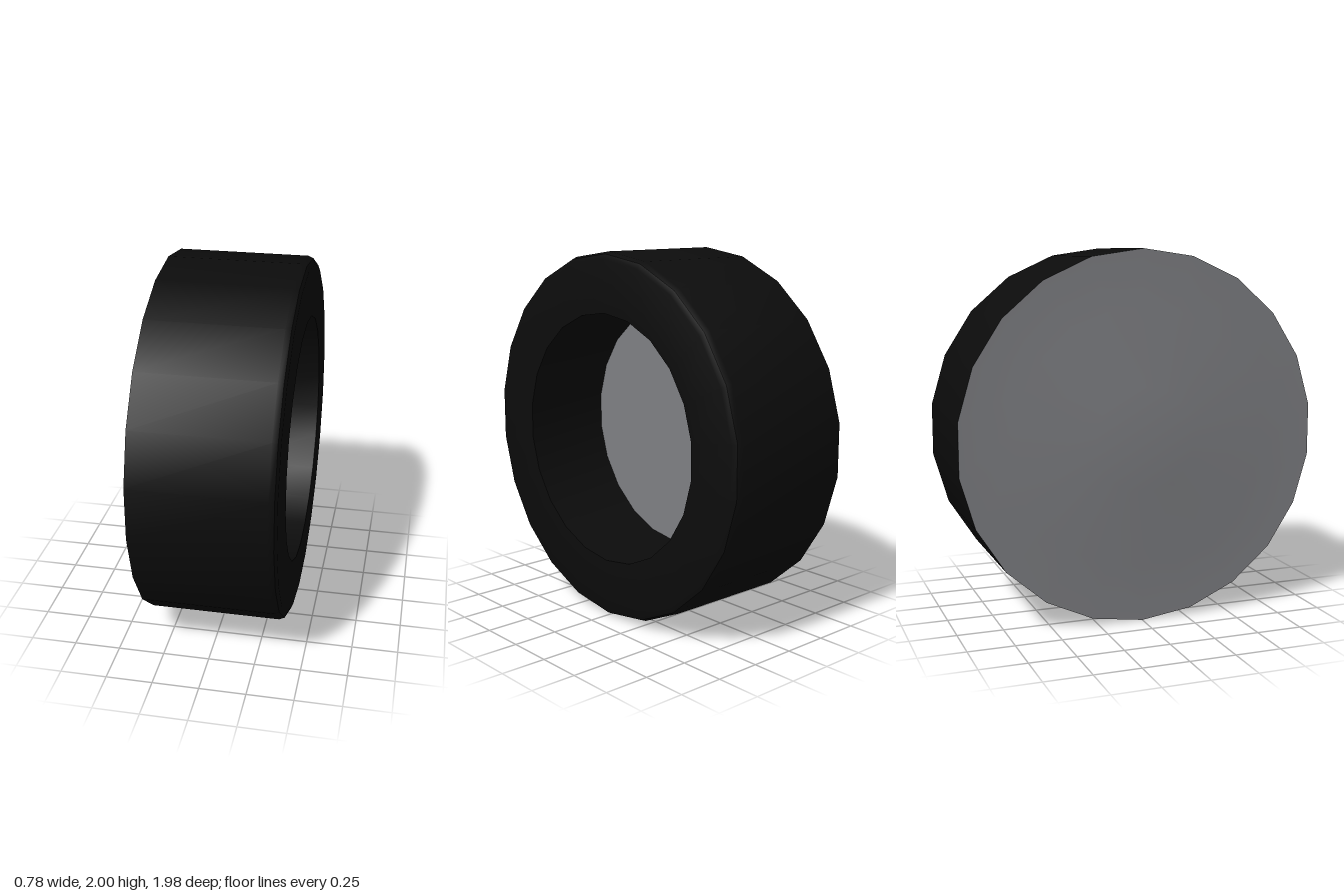
import * as THREE from 'three';
import { toCreasedNormals } from 'three/addons/utils/BufferGeometryUtils.js';

const SIDES = 22;

// Spins a profile of [radius, x] points around the x axis, with a corner at the top.
function spin(name, profile, material) {
  const points = profile.map(([r, x]) => new THREE.Vector2(r, x));
  const lathe = new THREE.LatheGeometry(points, SIDES, Math.PI / 2).rotateZ(-Math.PI / 2);
  const mesh = new THREE.Mesh(toCreasedNormals(lathe, 0.6), material);
  mesh.name = name;
  mesh.position.y = 1;
  return mesh;
}

export function createModel() {
  const rubber = new THREE.MeshStandardMaterial({ color: 0x0c0c0c });
  rubber.name = 'black rubber';
  const metal = new THREE.MeshStandardMaterial({ color: 0x808185 });
  metal.name = 'grey metal';

  const group = new THREE.Group();
  group.name = 'wheel';

  // Tread, rounded shoulder, side wall and the bore down to the hub
  group.add(spin('tyre', [
    [1, -0.355], [1, 0.35], [0.988, 0.378], [0.96, 0.39],
    [0.68, 0.39], [0.68, -0.12],
  ], rubber));

  // Recessed hub disc closing the bore
  group.add(spin('hubDisc', [[0.68, -0.12], [0, -0.12]], metal));

  // Slightly domed cover on the other side
  group.add(spin('backCover', [
    [0, -0.39], [0.28, -0.39], [0.7, -0.357], [1, -0.355],
  ], metal));

  return group;
}
